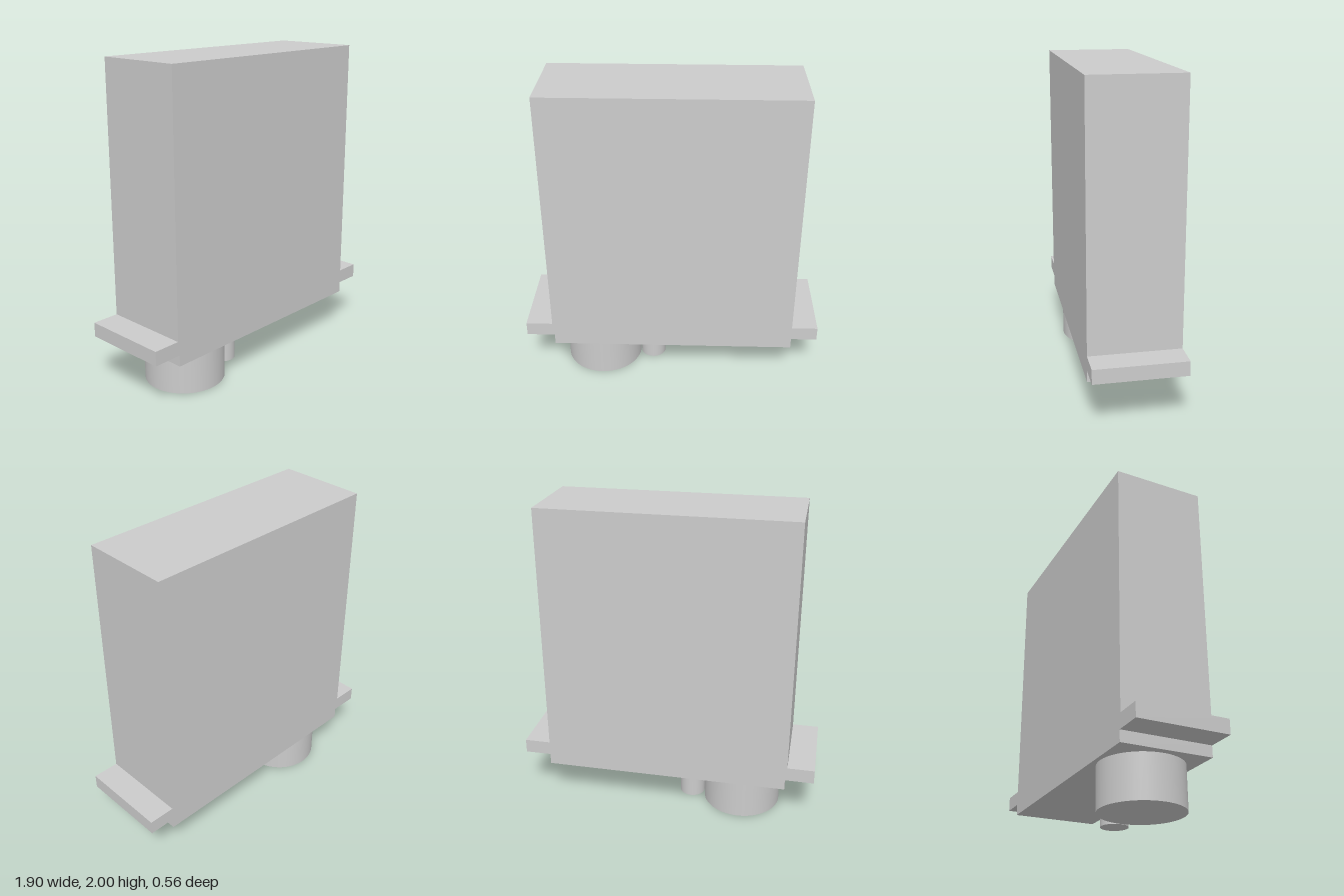
import * as THREE from 'three';

export function createModel() {
  const group = new THREE.Group();
  const material = new THREE.MeshStandardMaterial({ color: 0xcccccc });
  const add = (name, geometry) => {
    const mesh = new THREE.Mesh(geometry, material);
    mesh.name = name;
    group.add(mesh);
    return mesh;
  };

  // Housing with the two mounting flanges, extruded from its front outline
  const depth = 0.56;
  const outline = [
    [-0.77, 0.265], [0.785, 0.265], [0.785, 0.335], [0.95, 0.335],
    [0.95, 0.425], [0.785, 0.425], [0.785, 2], [-0.78, 2],
    [-0.78, 0.425], [-0.95, 0.425], [-0.95, 0.335], [-0.77, 0.335],
  ].map(([x, y]) => new THREE.Vector2(x, y));
  const housing = new THREE.ExtrudeGeometry(new THREE.Shape(outline), { depth, bevelEnabled: false });
  add('housingWithFlanges', housing.translate(0, 0, -depth / 2));

  // Round bosses under the housing
  const boss = (name, x, radius) => {
    const height = 0.265;
    add(name, new THREE.CylinderGeometry(radius, radius, height, 48)).position.set(x, height / 2, 0);
  };
  boss('outputBoss', -0.472, 0.252);
  boss('gearBoss', -0.133, 0.083);

  return group;
}
